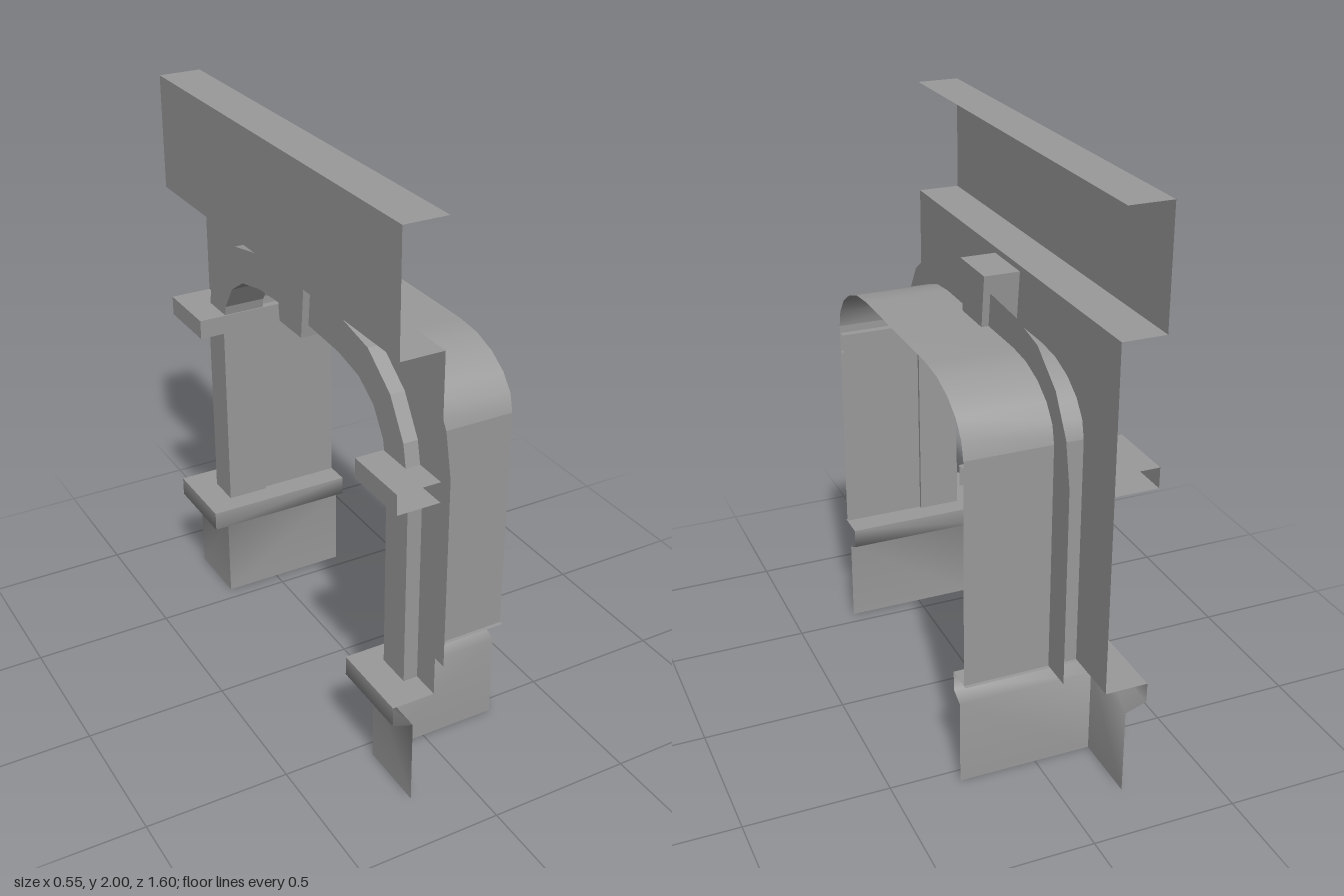
import * as THREE from 'three';

const material = new THREE.MeshStandardMaterial({ color: 0x9a9a9a, side: THREE.DoubleSide });

// Main planes: the facade looks towards -x, the vault runs back to +x
const FACE = -0.125, RING = -0.175, RING_BACK = -0.025, LEDGE = -0.274, BACK = 0.272, END = 0.8;

// Surface through rows of [x, y, z] points; faceted unless smooth
function sheet(rows, { flip = false, smooth = false } = {}) {
  const n = rows[0].length, index = [];
  for (let i = 0; i < rows.length - 1; i++) {
    for (let j = 0; j < n - 1; j++) {
      const a = i * n + j, b = a + 1, c = b + n, d = a + n;
      index.push(...(flip ? [a, c, b, a, d, c] : [a, b, c, a, c, d]));
    }
  }
  let g = new THREE.BufferGeometry();
  g.setAttribute('position', new THREE.Float32BufferAttribute(rows.flat(2), 3));
  g.setIndex(index);
  if (!smooth) g = g.toNonIndexed();
  g.computeVertexNormals();
  return g;
}

// Mirror half an outline of [z, y] points, running from -z over the top to +z
const mirrored = half => [...half.map(([z, y]) => [-z, y]), ...half.slice().reverse()];

// Shape in the z-y plane
const shapeOf = pts => new THREE.Shape(pts.map(([z, y]) => new THREE.Vector2(z, y)));

// Flat z-y panel at x, symmetric in z, facing towards dir * x
const panel = (pts, x, dir) =>
  new THREE.ShapeGeometry(shapeOf(pts)).rotateY(dir * Math.PI / 2).translate(x, 0, 0);

// Strip along x following a z-y outline, facing into the opening unless reversed
const lining = (pts, x0, x1, options) =>
  sheet([x0, x1].map(x => pts.map(([z, y]) => [x, y, z])), { flip: true, ...options });

// Moulding on the front and along the jamb, meeting at a sharp corner;
// profile of [front x, jamb z, y]
function wrap(profile, side, smooth) {
  const options = { flip: side > 0, smooth };
  return {
    Front: sheet(profile.map(([x, z, y]) => [[x, y, side * END], [x, y, side * z]]), options),
    Side: sheet(profile.map(([x, z, y]) => [[x, y, side * z], [BACK, y, side * z]]), options),
  };
}

export function createModel() {
  const model = new THREE.Group();
  const add = (name, geometry) => {
    const mesh = new THREE.Mesh(geometry, material);
    mesh.name = name;
    model.add(mesh);
  };
  const addWrap = (name, ...args) =>
    Object.entries(wrap(...args)).forEach(([part, geometry]) => add(name + part, geometry));

  const outer = mirrored([[0.7, 0.4], [0.7, 1.1], [0.668, 1.252], [0.589, 1.379],
    [0.456, 1.475], [0.297, 1.507], [0.09, 1.517]]);
  const inner = mirrored([[0.575, 0.4], [0.575, 1.1], [0.552, 1.21], [0.493, 1.3],
    [0.403, 1.358], [0.276, 1.385], [0.09, 1.395]]);
  const band = [...outer, ...inner.slice().reverse()];

  // Flat wall around the arch
  add('wall', panel([
    ...inner, [END, 0.4], [END, 1.6], [-END, 1.6], [-END, 0.4],
  ], FACE, -1));

  // Raised band around the opening: front, outer edge, return and rear face
  add('archBandFront', panel(band, RING, -1));
  add('archBandEdge', lining(outer, RING, FACE, { flip: false }));
  add('archBandReturn', lining(inner, RING, RING_BACK));
  add('archBandRear', panel(band, RING_BACK, 1));

  // Overhanging parapet, open at the back and ends
  add('parapet', sheet([[FACE, 1.6], [LEDGE, 1.6], [LEDGE, 2], [FACE, 2]]
    .map(([x, y]) => [[x, y, -END], [x, y, END]])));

  // Vault: rounded shoulders joined by a flat crown
  const shoulder = [];
  for (let i = 0; i <= 5; i++) {
    const a = i / 5 * Math.PI / 2;
    shoulder.push([0.28 + 0.307 * Math.cos(a), 1.2 + 0.2 * Math.sin(a)]);
  }
  add('vault', lining(mirrored(shoulder), FACE, BACK, { smooth: true }));

  // Keystone
  add('keystone', new THREE.ExtrudeGeometry(
    shapeOf([[-0.075, 1.355], [0.075, 1.355], [0.1, 1.58], [-0.1, 1.58]]),
    { depth: 0.2, bevelEnabled: false }).rotateY(-Math.PI / 2));

  for (const side of [1, -1]) {
    const label = side > 0 ? 'left' : 'right';
    // Jamb below the vault
    add(label + 'Jamb', sheet([0.4, 1.2].map(y =>
      [[FACE, y, side * 0.587], [BACK, y, side * 0.587]]), { flip: side > 0 }));
    // Plinth flowing softly into its projecting cap, with a flat ledge on top
    addWrap(label + 'Plinth', [[-0.2, 0.553, 0], [-0.2, 0.553, 0.305],
      [LEDGE, 0.5, 0.33], [LEDGE, 0.5, 0.4]], side, true);
    addWrap(label + 'PlinthLedge', [[LEDGE, 0.5, 0.4], [FACE, 0.6, 0.4]], side, false);
    // Impost moulding at the springing
    addWrap(label + 'Impost', [[FACE, 0.582, 1.105], [LEDGE, 0.555, 1.105],
      [LEDGE, 0.555, 1.175], [FACE, 0.582, 1.175]], side, false);
  }
  return model;
}
